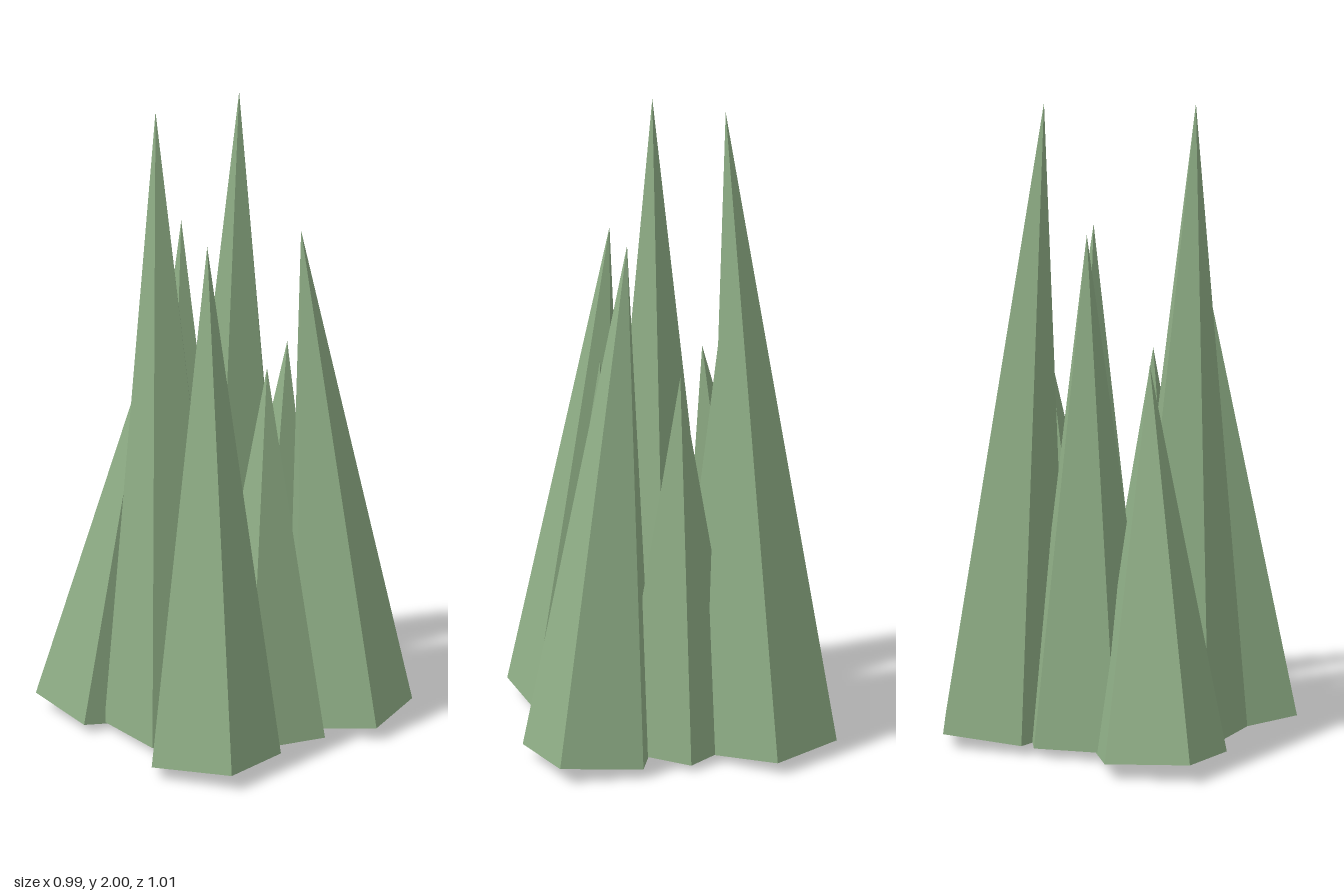
import * as THREE from 'three';

// Cluster of eight leaning five-sided spikes
export function createModel() {
  const group = new THREE.Group();
  group.name = 'spikeCluster';
  const green = new THREE.MeshStandardMaterial({ color: 0x8fae86, flatShading: true });
  green.name = 'sageGreen';

  const radius = 0.22, baseY = 0.028;
  const up = new THREE.Vector3(0, 1, 0);

  // name, base centre x/z, tip x/y/z, twist in degrees
  const spikes = [
    ['frontSpike', 0, 0.213, 0, 2.0, 0.262, 179],
    ['backSpike', 0, -0.21, 0, 1.21, -0.265, 182],
    ['leftSpike', 0.21, -0.003, 0.21, 1.21, 0, 180],
    ['rightSpike', -0.21, -0.003, -0.21, 1.605, 0, 180],
    ['frontLeftSpike', 0.28, 0.284, 0.15, 1.605, 0.187, -4],
    ['backRightSpike', -0.28, -0.284, -0.15, 2.0, -0.187, 176],
    ['backLeftSpike', 0.282, -0.286, 0.15, 1.605, -0.187, 2],
    ['frontRightSpike', -0.282, 0.286, -0.15, 1.21, 0.187, 182],
  ];

  for (const [name, bx, bz, tx, ty, tz, twist] of spikes) {
    const base = new THREE.Vector3(bx, baseY, bz);
    const axis = new THREE.Vector3(tx, ty, tz).sub(base);
    const length = axis.length();
    // Pivot at the base centre, twisted about its own axis
    const geometry = new THREE.ConeGeometry(radius, length, 5, 1);
    geometry.translate(0, length / 2, 0);
    geometry.rotateY(THREE.MathUtils.degToRad(twist));
    const spike = new THREE.Mesh(geometry, green);
    spike.name = name;
    spike.position.copy(base);
    spike.quaternion.setFromUnitVectors(up, axis.normalize());
    group.add(spike);
  }
  return group;
}
